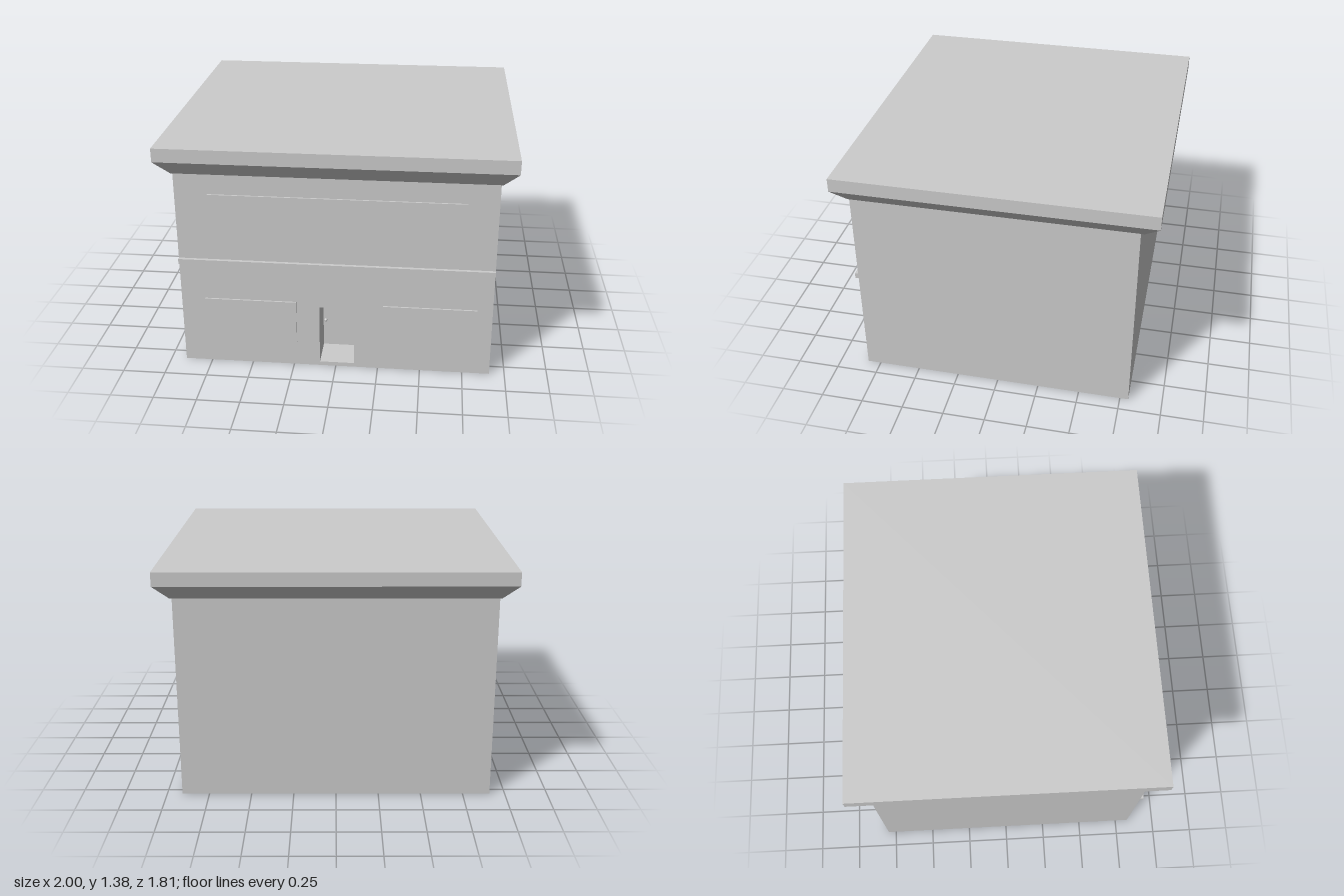
import * as THREE from 'three';

const material = new THREE.MeshStandardMaterial({ color: 0xcccccc, flatShading: true });

export function createModel() {
  const model = new THREE.Group();
  model.name = 'building';

  const add = (name, geometry, x = 0, y = 0, z = 0) => {
    const mesh = new THREE.Mesh(geometry, material);
    mesh.name = name;
    mesh.position.set(x, y, z);
    model.add(mesh);
  };
  // Box given by its limits on each axis
  const block = (name, x0, x1, y0, y1, z0, z1) =>
    add(name, new THREE.BoxGeometry(x1 - x0, y1 - y0, z1 - z0),
      (x0 + x1) / 2, (y0 + y1) / 2, (z0 + z1) / 2);
  const rect = (path, x0, x1, y0, y1) =>
    path.moveTo(x0, y0).lineTo(x1, y0).lineTo(x1, y1).lineTo(x0, y1).closePath();

  const half = 0.91, wallTop = 1.215, front = 0.83, back = -0.8, recess = 0.62;

  // Main body, and a front wall with the doorway cut through it
  block('mainBody', -half, half, 0, wallTop, back, recess);
  const wall = rect(new THREE.Shape(), -half, half, 0, wallTop);
  wall.holes.push(rect(new THREE.Path(), -0.095, 0.11, 0.025, 0.395));
  add('frontWall', new THREE.ExtrudeGeometry(wall, { depth: front - recess, bevelEnabled: false }), 0, 0, recess);

  // Door set at the back of the recess, with its knob
  block('door', -0.095, 0.11, 0.025, 0.395, recess, recess + 0.01);
  add('doorKnob', new THREE.SphereGeometry(0.01, 12, 8), -0.08, 0.2, recess + 0.018);

  // Shallow window panels and the band between storeys
  block('upperWindow', -0.72, 0.735, 0.82, 1.09, front, front + 0.01);
  block('lowerWindowRight', -0.77, -0.23, 0.153, 0.425, front, front + 0.01);
  block('lowerWindowLeft', 0.278, 0.82, 0.153, 0.425, front, front + 0.01);
  block('storeyBand', -half, half, 0.65, 0.683, front, front + 0.02);

  // Flared cornice: a box whose lower corners are drawn in towards the walls
  const cornice = new THREE.BoxGeometry(2, 0.09, 1.812);
  const p = cornice.attributes.position;
  for (let i = 0; i < p.count; i++) {
    if (p.getY(i) > 0) continue;
    p.setX(i, Math.sign(p.getX(i)) * 0.92);
    p.setZ(i, p.getZ(i) > 0 ? 0.835 : -0.82);
  }
  cornice.computeVertexNormals();
  add('cornice', cornice, 0, 1.255, 0);

  // Flat roof slab
  block('roof', -1, 1, 1.3, 1.38, -0.906, 0.906);

  return model;
}
